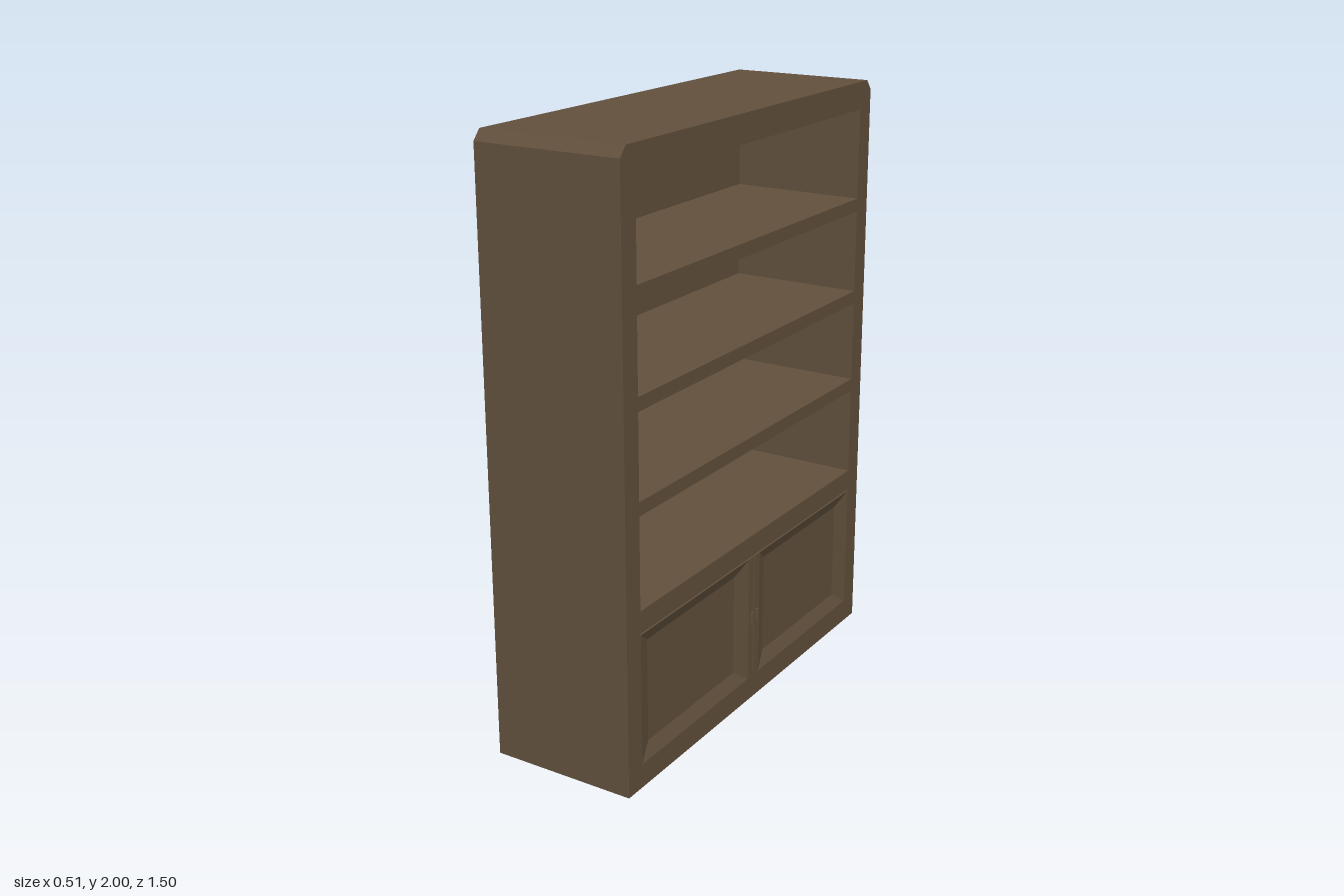
import * as THREE from 'three';

const BACK = -0.255, FRONT = 0.245, PANEL = 0.03;
const INNER = 0.677; // half width of the openings

// Corners of a rectangle, anticlockwise seen from the open side
const rect = (u0, y0, u1, y1) => [[u0, y0], [u1, y0], [u1, y1], [u0, y1]];

// Extrudes a (width, height) shape along the depth, facing +x
function slab(shape, x, depth) {
  const g = new THREE.ExtrudeGeometry(shape, { depth, bevelEnabled: false });
  return g.rotateY(Math.PI / 2).translate(x, 0, 0);
}

// Flat-faced skin through rectangular rings, closed at the last ring
function ringSkin(rings) {
  const p = [];
  const quad = (a, b, c, d) => p.push(...a, ...b, ...c, ...a, ...c, ...d);
  for (let r = 0; r < rings.length - 1; r++) {
    for (let i = 0; i < 4; i++) {
      const j = (i + 1) % 4;
      quad(rings[r][i], rings[r][j], rings[r + 1][j], rings[r + 1][i]);
    }
  }
  quad(...rings[rings.length - 1]);
  const g = new THREE.BufferGeometry();
  g.setAttribute('position', new THREE.Float32BufferAttribute(p, 3));
  g.computeVertexNormals();
  return g.rotateY(Math.PI / 2);
}

export function createModel() {
  const model = new THREE.Group();
  model.name = 'bookcase';
  const wood = new THREE.MeshStandardMaterial({ color: 0x604f3b });
  wood.name = 'brown wood';
  const add = (name, geometry) => {
    const mesh = new THREE.Mesh(geometry, wood);
    mesh.name = name;
    model.add(mesh);
    return mesh;
  };

  // Case outline with clipped top corners
  const outline = () => new THREE.Shape([
    [-0.75, 0], [0.75, 0], [0.75, 1.967], [0.722, 2], [-0.722, 2], [-0.75, 1.967],
  ].map(([u, y]) => new THREE.Vector2(u, y)));

  // Frame and shelves: four open bays over a cupboard opening
  const frame = outline();
  for (const [y0, y1] of [[0.08, 0.528], [0.602, 0.907], [0.952, 1.23], [1.275, 1.557], [1.603, 1.907]]) {
    const corners = rect(-INNER, y0, INNER, y1).reverse();
    frame.holes.push(new THREE.Path(corners.map(([u, y]) => new THREE.Vector2(u, y))));
  }
  add('frameAndShelves', slab(frame, BACK + PANEL, FRONT - BACK - PANEL));
  add('backPanel', slab(outline(), BACK, PANEL));

  // Pair of doors with sunken, sloping panels, and a small handle on each
  for (const side of [-1, 1]) {
    const ring = (near, y0, far, y1, x) => {
      const [a, b] = side > 0 ? [near, far] : [-far, -near];
      return rect(a, y0, b, y1).map(([u, y]) => [u, y, x]);
    };
    const name = side > 0 ? 'right' : 'left';
    add(name + 'Door', ringSkin([
      ring(0.003, 0.08, INNER, 0.523, FRONT - 0.04),
      ring(0.003, 0.08, INNER, 0.523, FRONT),
      ring(0.035, 0.081, INNER - 0.001, 0.522, FRONT),
      ring(0.098, 0.128, INNER - 0.064, 0.477, FRONT - 0.02),
    ]));
    add(name + 'Handle', new THREE.BoxGeometry(0.014, 0.042, 0.007))
      .position.set(0.248, 0.303, -side * 0.016);
  }
  return model;
}
